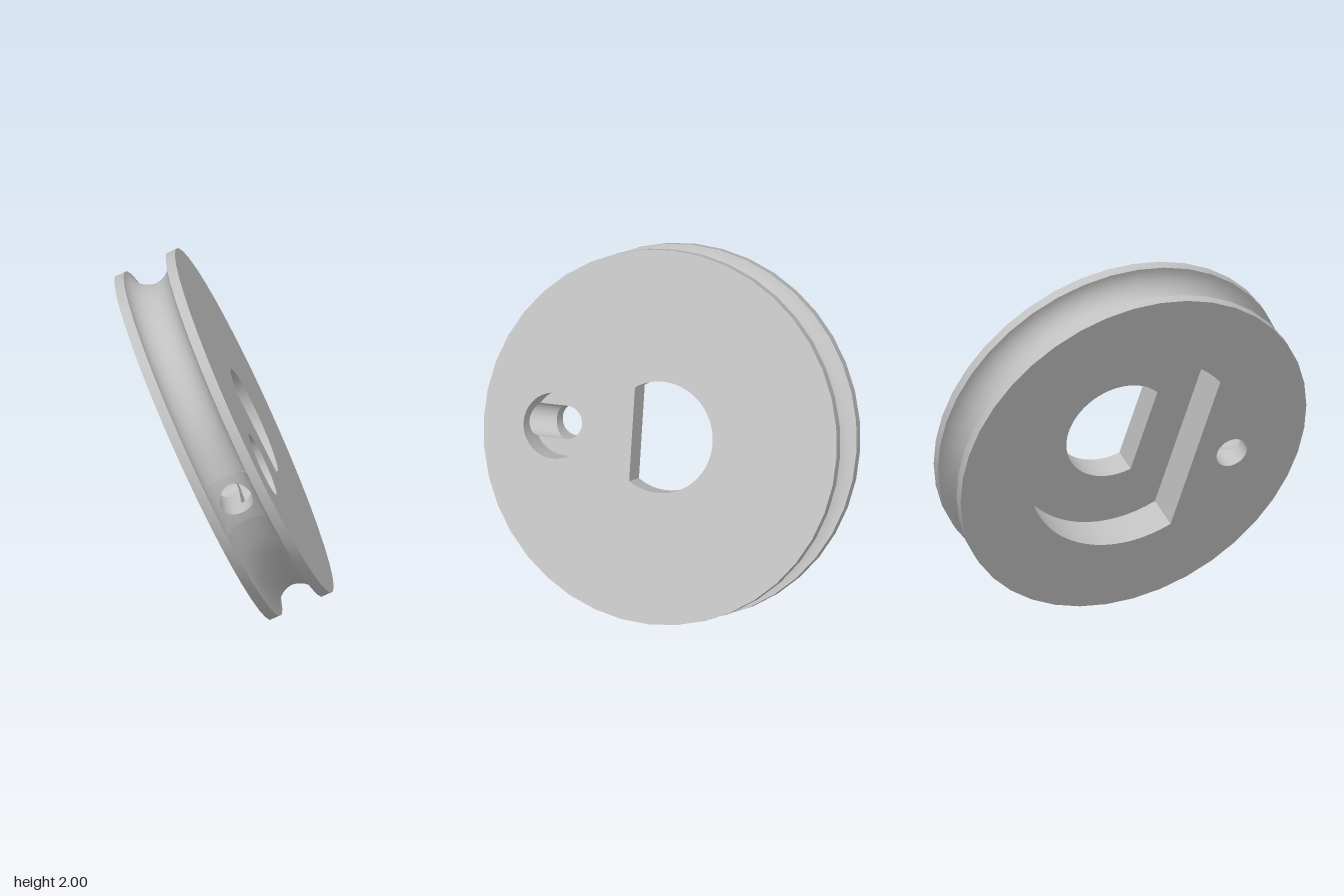
import * as THREE from 'three';
import { toCreasedNormals } from 'three/addons/utils/BufferGeometryUtils.js';

// Wheel space: z is the axle, x points along the screw holes.
const R = 1.02, H = 0.18;             // wheel radius, half thickness
const G = 0.125, SEG = 40;            // groove radius, sides round the rim
const BORE = 0.303, BORE_FLAT = 0.163;
const RECESS = 0.61, RECESS_FLAT = 0.385, FLOOR = 0.03;
const SX = 0.61, HEAD = 0.18, SCREW = 0.09;   // screw position, pocket and hole radii
const TAU = Math.PI * 2;

// Surface from fn(u, v) -> [x, y, z]; it faces du x dv
function grid(nu, nv, fn) {
  const pos = [], idx = [];
  for (let i = 0; i <= nu; i++)
    for (let j = 0; j <= nv; j++) pos.push(...fn(i / nu, j / nv));
  for (let i = 0; i < nu; i++)
    for (let j = 0; j < nv; j++) {
      const a = i * (nv + 1) + j, b = a + nv + 1;
      idx.push(a, b, b + 1, a, b + 1, a + 1);
    }
  const g = new THREE.BufferGeometry();
  g.setAttribute('position', new THREE.Float32BufferAttribute(pos, 3));
  g.setIndex(idx);
  return toCreasedNormals(g, 0.6);
}

const polar = (r, a, z) => [r * Math.cos(a), r * Math.sin(a), z];

// Points on an arc about (cx, 0)
function arc(cx, r, a0, a1, n = 48) {
  return Array.from({ length: n + 1 }, (_, i) => {
    const a = a0 + (a1 - a0) * i / n;
    return new THREE.Vector2(cx + r * Math.cos(a), r * Math.sin(a));
  });
}
const circle = (cx, r, n = 48) => arc(cx, r, 0, TAU, n).slice(0, -1);
const dShape = (r, flat) => {
  const a = Math.acos(flat / r);
  return arc(0, r, a, TAU - a);
};

// Flat plate with holes, facing +z or -z
function plate(outline, holes, z, down) {
  const s = new THREE.Shape(outline);
  s.holes = holes.map(h => new THREE.Path(h));
  const g = new THREE.ShapeGeometry(s);
  if (down) g.rotateX(Math.PI).scale(1, 1, 1);
  return g.translate(0, 0, z);
}

// Wall round the inside of a hole
function holeWall(pts, lo, hi) {
  const n = pts.length;
  return grid(n, 1, (u, v) => {
    const p = pts[(n - Math.round(u * n)) % n];
    return [p.x, p.y, v ? hi(p) : lo(p)];
  });
}

export function createModel() {
  const grey = new THREE.MeshStandardMaterial({ color: 0xc0c0c0 });
  grey.name = 'grey';
  const wheel = new THREE.Group();
  wheel.name = 'grooveWheel';
  const add = (name, geometry) => {
    const m = new THREE.Mesh(geometry, grey);
    m.name = name;
    wheel.add(m);
  };

  // Flat faces
  const rim = circle(0, R, SEG);
  add('boreFace', plate(rim, [dShape(BORE, BORE_FLAT), circle(SX, HEAD)], H, false));
  add('recessFace', plate(rim, [dShape(RECESS, RECESS_FLAT), circle(SX, SCREW)], -H, true));
  add('recessFloor', plate(dShape(RECESS, RECESS_FLAT), [dShape(BORE, BORE_FLAT)], FLOOR, true));

  // Rims of the two flanges
  for (const [name, z0, z1] of [['recessRim', -H, -G], ['boreRim', G, H]])
    add(name, grid(SEG, 1, (u, v) => polar(R, u * TAU, z0 + (z1 - z0) * v)));

  // Round groove, leaving a window for the radial hole
  const T = TAU / SEG;
  const groove = (a, b) => polar(R - G * Math.cos(b), a, G * Math.sin(b));
  add('groove', grid(SEG - 2, 20, (u, v) =>
    groove(T + u * (TAU - 2 * T), (v - 0.5) * Math.PI)));

  // Groove patch running from the window edge to the radial hole
  const grooveRadius = w => R - Math.sqrt(G * G - w * w);
  add('groovePatch', grid(48, 8, (u, v) => {
    const c = Math.cos(u * TAU), s = Math.sin(u * TAU);
    const k = 1 / Math.max(Math.abs(c), Math.abs(s));
    const w = SCREW * s;
    const a = Math.asin(SCREW * c / grooveRadius(w)), b = Math.asin(w / G);
    return groove(THREE.MathUtils.lerp(T * c * k, a, v),
      THREE.MathUtils.lerp(Math.PI / 2 * s * k, b, v));
  }));

  // Radial hole: upper half opens into the head pocket, lower half into the screw hole
  for (const [name, start, r] of [['radialHoleUpper', 0, HEAD], ['radialHoleLower', Math.PI, SCREW]])
    add(name, grid(24, 1, (u, v) => {
      const a = start + u * Math.PI, t = SCREW * Math.cos(a), w = SCREW * Math.sin(a);
      const outer = Math.sqrt(grooveRadius(w) ** 2 - t * t);
      const inner = SX + Math.sqrt(Math.max(0, r * r - t * t));
      return [v ? inner : outer, t, w];
    }));

  // Centre bore and recess walls
  add('boreWall', holeWall(dShape(BORE, BORE_FLAT), () => FLOOR, () => H));
  add('recessWall', holeWall(dShape(RECESS, RECESS_FLAT), () => -H, () => FLOOR));

  // Screw hole and its head pocket, both cut by the radial hole
  const cut = p => p.x > SX ? Math.sqrt(Math.max(0, SCREW ** 2 - p.y ** 2)) : 0;
  add('pocketWall', holeWall(circle(SX, HEAD), cut, () => H));
  add('screwHoleWall', holeWall(circle(SX, SCREW), () => -H, p => -cut(p)));
  const open = Math.asin(SCREW / HEAD);
  add('pocketFloor', plate([
    ...arc(SX, HEAD, open, TAU - open),
    ...arc(SX, SCREW, Math.PI * 1.5, Math.PI / 2, 24),
  ], [], 0, false));

  // Tilt the wheel into place
  const z = new THREE.Vector3(0.805, 0.42, -0.42).normalize();
  const x = new THREE.Vector3(0.5, -0.1, 0.86);
  x.addScaledVector(z, -x.dot(z)).normalize();
  const y = new THREE.Vector3().crossVectors(z, x);
  wheel.quaternion.setFromRotationMatrix(new THREE.Matrix4().makeBasis(x, y, z));
  wheel.position.y = 1;

  const model = new THREE.Group();
  model.name = 'model';
  model.add(wheel);
  return model;
}
